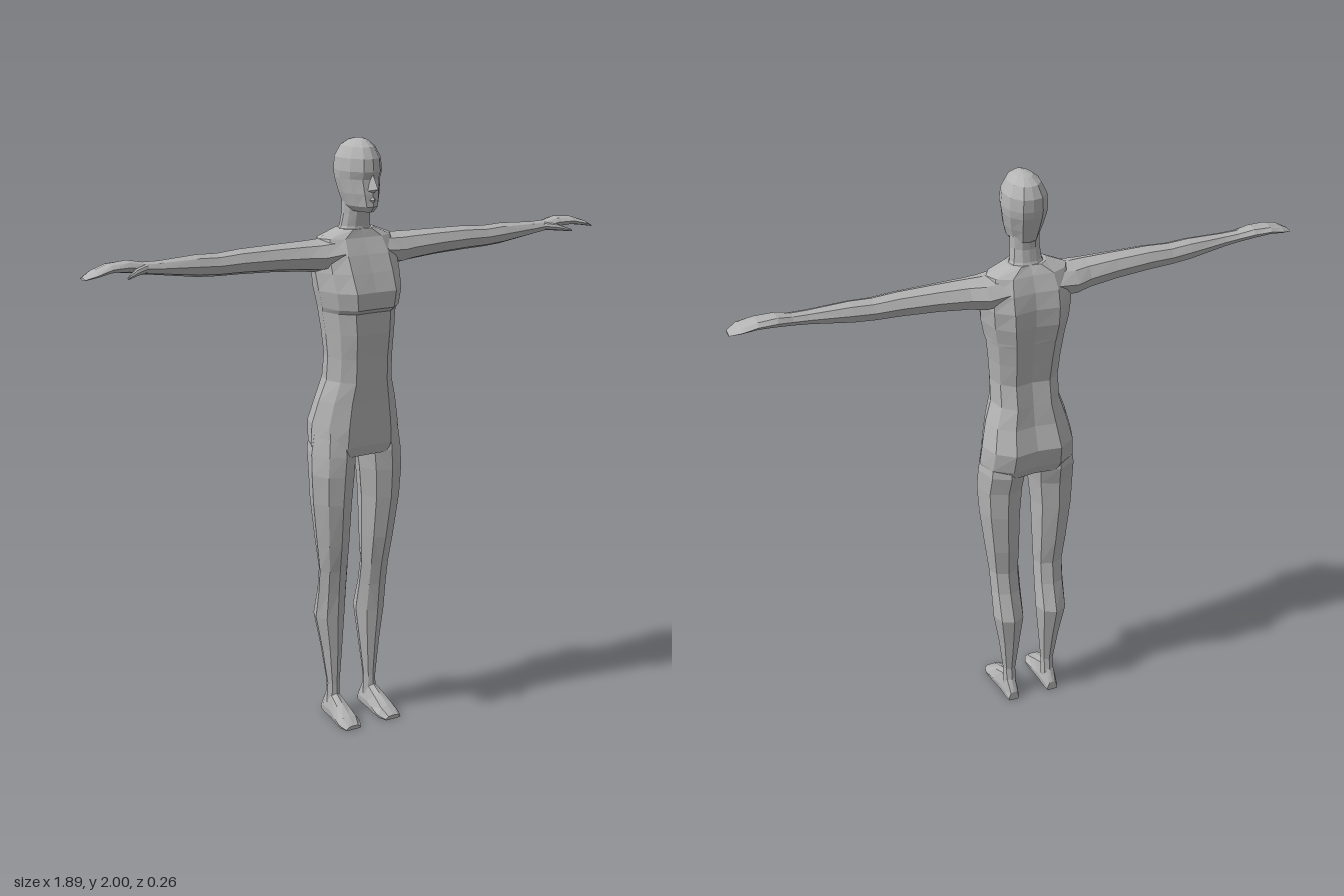
import * as THREE from 'three';
import { ConvexGeometry } from 'three/addons/geometries/ConvexGeometry.js';

const skin = new THREE.MeshStandardMaterial({ color: 0xb4b4b4, flatShading: true });
skin.name = 'plain grey';

// Half outlines running front to back: [share of half width, share of depth]
const TORSO = [[0, 0.97], [0.5, 1], [0.83, 0.62], [1, 0], [0.86, -0.62], [0.5, -1], [0, -0.9]];
const HEAD = [[0, 1], [0.42, 0.9], [0.82, 0.5], [1, 0.02], [0.88, -0.55], [0.45, -0.94], [0, -1]];
const LIMB = [[0, 1], [0.62, 0.72], [1, 0.05], [0.72, -0.7], [0, -1]];
const FOOT = [[0, 1], [0.6, 0.75], [1, -0.4], [0.9, -1], [0, -1]];

// Closes a half outline by mirroring it
const closed = (half) => [...half, ...half.slice(1, -1).reverse().map(([u, v]) => [-u, v])];

// Skins a list of rings and caps both ends; faces are turned outward by signed volume
function loft(rings) {
  const tris = [];
  const n = rings[0].length;
  for (let r = 0; r < rings.length - 1; r++) {
    for (let i = 0; i < n; i++) {
      const j = (i + 1) % n;
      const a = rings[r][i], b = rings[r][j], c = rings[r + 1][j], d = rings[r + 1][i];
      tris.push([a, b, c], [a, c, d]);
    }
  }
  const last = rings[rings.length - 1];
  for (let i = 1; i < n - 1; i++) {
    tris.push([rings[0][0], rings[0][i + 1], rings[0][i]], [last[0], last[i], last[i + 1]]);
  }
  const cross = new THREE.Vector3();
  const volume = tris.reduce((s, [a, b, c]) => s + a.dot(cross.crossVectors(b, c)), 0);
  const points = tris.flatMap(([a, b, c]) => (volume < 0 ? [a, c, b] : [a, b, c]));
  const geometry = new THREE.BufferGeometry().setFromPoints(points);
  geometry.computeVertexNormals();
  return geometry;
}

// Rows are [position along axis, u min, u max, v min, v max]; place() turns (t, u, v) into a point
function rowsToRings(rows, outline, place) {
  return rows.map(([t, u0, u1, v0, v1]) => closed(outline).map(([u, v]) =>
    place(t, (u0 + u1) / 2 + (u * (u1 - u0)) / 2, (v0 + v1) / 2 + (v * (v1 - v0)) / 2)));
}

const alongY = (t, u, v) => new THREE.Vector3(u, t, v);
const alongZ = (t, u, v) => new THREE.Vector3(u, v, t);
const alongX = (t, u, v) => new THREE.Vector3(t, v, u);
const centred = (rows) => rows.map(([y, w, front, back]) => [y, -w, w, back, front]);

export function createModel() {
  const body = new THREE.Group();
  body.name = 'body';

  function add(name, geometry) {
    const mesh = new THREE.Mesh(geometry, skin);
    mesh.name = name;
    body.add(mesh);
  }
  function addPair(name, rows, outline, place) {
    const rings = rowsToRings(rows, outline, place);
    add('left' + name, loft(rings));
    const mirrored = rings.map((ring) => ring.map((p) => new THREE.Vector3(-p.x, p.y, p.z)));
    add('right' + name, loft(mirrored));
  }

  // Torso from crotch to base of neck: y, half width, front z, back z
  add('torso', loft(rowsToRings(centred([
    [0.965, 0.15, 0.075, -0.1],
    [1.0, 0.165, 0.085, -0.118],
    [1.07, 0.158, 0.088, -0.133],
    [1.15, 0.14, 0.09, -0.105],
    [1.22, 0.117, 0.097, -0.092],
    [1.3, 0.116, 0.1, -0.077],
    [1.38, 0.122, 0.107, -0.09],
    [1.45, 0.13, 0.106, -0.102],
    [1.465, 0.134, 0.124, -0.105],
    [1.52, 0.145, 0.128, -0.115],
    [1.58, 0.15, 0.102, -0.115],
    [1.635, 0.15, 0.075, -0.102],
    [1.685, 0.135, 0.045, -0.078],
    [1.712, 0.066, 0.036, -0.058],
  ]), TORSO, alongY)));

  // Neck leaning forward under the skull
  add('neck', loft(rowsToRings(centred([
    [1.68, 0.075, 0.04, -0.07],
    [1.72, 0.052, 0.032, -0.05],
    [1.76, 0.048, 0.04, -0.043],
    [1.82, 0.048, 0.05, -0.045],
  ]), HEAD, alongY)));

  // Head from under the jaw to the crown
  add('head', loft(rowsToRings(centred([
    [1.772, 0.032, 0.09, -0.03],
    [1.79, 0.048, 0.104, -0.05],
    [1.83, 0.06, 0.101, -0.062],
    [1.875, 0.069, 0.094, -0.076],
    [1.9, 0.072, 0.105, -0.08],
    [1.94, 0.068, 0.1, -0.079],
    [1.975, 0.05, 0.08, -0.06],
    [1.993, 0.028, 0.052, -0.03],
    [2.0, 0.008, 0.025, 0.005],
  ]), HEAD, alongY)));

  // Nose and mouth wedges
  const wedge = (points) => new ConvexGeometry(points.map((p) => new THREE.Vector3(...p)));
  add('nose', wedge([[0, 1.893, 0.1], [0, 1.848, 0.131], [-0.017, 1.84, 0.09],
    [0.017, 1.84, 0.09], [0, 1.835, 0.105], [0, 1.88, 0.07]]));
  add('mouth', wedge([[-0.022, 1.812, 0.085], [0.022, 1.812, 0.085], [0, 1.825, 0.1],
    [0, 1.812, 0.112], [0, 1.798, 0.1]]));

  // Arms stretched sideways, hands included: x, back z, front z, bottom y, top y
  addPair('Arm', [
    [0.08, -0.095, 0.07, 1.59, 1.688],
    [0.15, -0.092, 0.06, 1.578, 1.684],
    [0.2, -0.075, 0.05, 1.585, 1.683],
    [0.3, -0.062, 0.043, 1.594, 1.682],
    [0.42, -0.052, 0.038, 1.6, 1.68],
    [0.5, -0.046, 0.035, 1.602, 1.674],
    [0.57, -0.042, 0.034, 1.607, 1.677],
    [0.7, -0.029, 0.028, 1.627, 1.671],
    [0.75, -0.029, 0.026, 1.634, 1.672],
    [0.8, -0.04, 0.028, 1.643, 1.682],
    [0.86, -0.042, 0.035, 1.648, 1.678],
    [0.91, -0.037, 0.045, 1.642, 1.662],
    [0.945, -0.015, 0.026, 1.636, 1.643],
  ], LIMB, alongX);

  addPair('Thumb', [
    [0.74, -0.005, 0.026, 1.64, 1.667],
    [0.785, 0.018, 0.048, 1.637, 1.66],
    [0.825, 0.058, 0.067, 1.635, 1.643],
  ], LIMB, alongX);

  // Legs from hip to ankle: y, inner x, outer x, back z, front z
  addPair('Leg', [
    [1.05, 0.02, 0.155, -0.1, 0.075],
    [0.97, 0.006, 0.168, -0.11, 0.085],
    [0.9, 0.012, 0.171, -0.092, 0.082],
    [0.8, 0.021, 0.165, -0.088, 0.073],
    [0.65, 0.025, 0.148, -0.075, 0.05],
    [0.55, 0.028, 0.136, -0.061, 0.03],
    [0.47, 0.027, 0.134, -0.075, 0.019],
    [0.37, 0.025, 0.134, -0.109, 0.01],
    [0.25, 0.037, 0.113, -0.085, 0.0],
    [0.12, 0.05, 0.096, -0.061, -0.01],
    [0.04, 0.05, 0.098, -0.07, -0.01],
  ], LIMB, alongY);

  // Feet from heel to toe: z, inner x, outer x, bottom y, top y
  addPair('Foot', [
    [-0.088, 0.056, 0.094, 0, 0.035],
    [-0.06, 0.05, 0.1, 0, 0.085],
    [-0.01, 0.047, 0.103, 0, 0.084],
    [0.03, 0.042, 0.111, 0, 0.064],
    [0.08, 0.036, 0.119, 0, 0.037],
    [0.114, 0.05, 0.11, 0, 0.014],
  ], FOOT, alongZ);

  return body;
}
